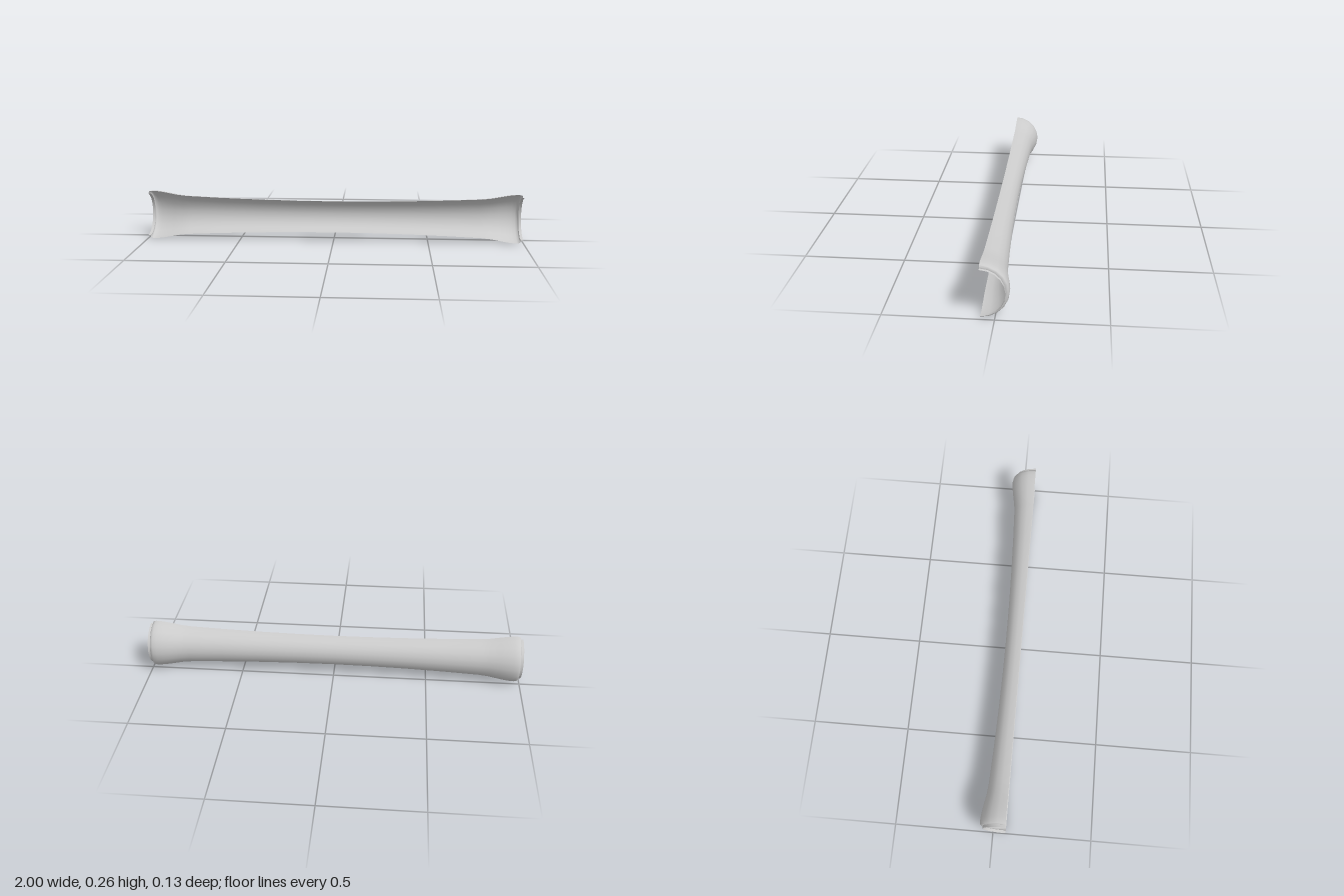
import * as THREE from 'three';
import { toCreasedNormals } from 'three/addons/utils/BufferGeometryUtils.js';

export function createModel() {
  const group = new THREE.Group();
  group.name = 'halfTube';

  // Half of the profile, from the narrow waist to the stepped end lip: [distance along axis, radius]
  const half = [
    [0, 0.084], [0.2, 0.0855], [0.4, 0.0895], [0.6, 0.096], [0.78, 0.104],
    [0.83, 0.1095], [0.88, 0.119], [0.92, 0.126], [0.95, 0.1295], [0.97, 0.13],
    [0.982, 0.127], [0.986, 0.122], [0.986, 0.114], [1, 0.114],
  ];
  const mirrored = half.slice(1).reverse().map(([x, r]) => [-x, r]);
  const profile = [...mirrored, ...half].map(([x, r]) => new THREE.Vector2(r, x));

  // Half revolution, open towards the front, laid along x
  const lathe = new THREE.LatheGeometry(profile, 10, Math.PI / 2, Math.PI);
  lathe.rotateZ(-Math.PI / 2);
  const shell = new THREE.Mesh(
    toCreasedNormals(lathe, 0.75),
    new THREE.MeshStandardMaterial({ color: 0xcccccc, side: THREE.DoubleSide })
  );
  shell.name = 'flaredShell';
  shell.position.set(0, 0.13, 0.065);
  group.add(shell);

  return group;
}
